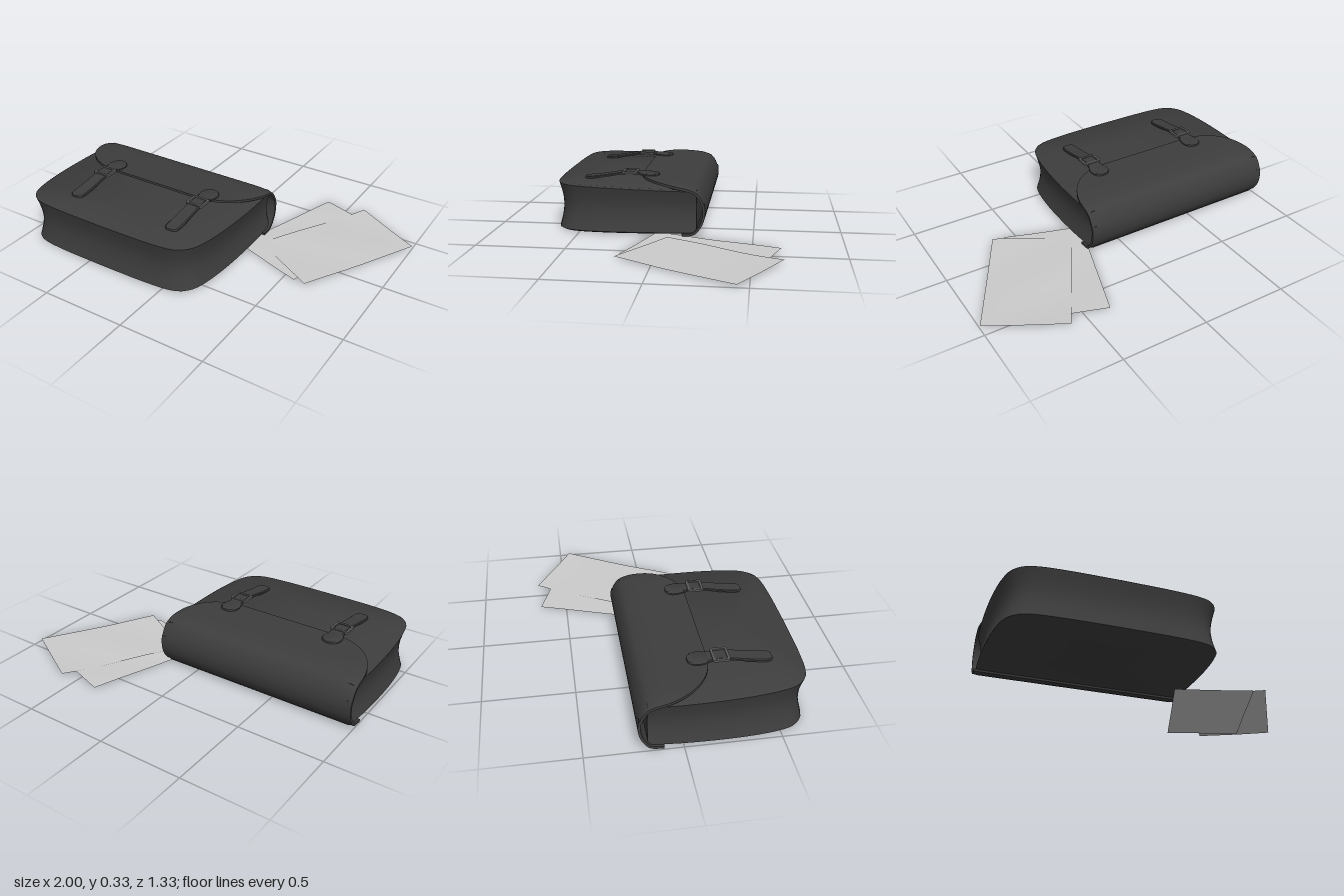
import * as THREE from 'three';
import { toCreasedNormals } from 'three/addons/utils/BufferGeometryUtils.js';

const CX = -0.395; // centre line of the bag
const leather = new THREE.MeshStandardMaterial({ color: 0x3d3d3d });
const metal = new THREE.MeshStandardMaterial({ color: 0x5a5a5a });
const paper = new THREE.MeshStandardMaterial({ color: 0xcccccc, side: THREE.DoubleSide });
const V = (x, y, z) => new THREE.Vector3(x, y, z);

function add(parent, name, geometry, material) {
  const mesh = new THREE.Mesh(geometry, material);
  mesh.name = name;
  parent.add(mesh);
  return mesh;
}

// Closed skin over equal-length rings, capped at both ends and always facing outwards
function loft(rings, crease = 0.7) {
  const n = rings[0].length, m = rings.length;
  const points = rings.flat();
  const tris = [];
  for (let i = 0; i < m - 1; i++) {
    for (let j = 0; j < n; j++) {
      const a = i * n + j, b = i * n + (j + 1) % n;
      tris.push([a, b, a + n], [b, b + n, a + n]);
    }
  }
  [0, m - 1].forEach((r, end) => {
    const mid = rings[r].reduce((s, p) => s.add(p), V(0, 0, 0)).divideScalar(n);
    const c = points.push(mid) - 1;
    for (let j = 0; j < n; j++) {
      const a = r * n + j, b = r * n + (j + 1) % n;
      tris.push(end ? [c, a, b] : [c, b, a]);
    }
  });
  let volume = 0;
  for (const [a, b, c] of tris) volume += points[a].dot(V(0, 0, 0).crossVectors(points[b], points[c]));
  const geometry = new THREE.BufferGeometry().setFromPoints(points);
  geometry.setIndex(tris.flatMap(([a, b, c]) => (volume < 0 ? [a, c, b] : [a, b, c])));
  return toCreasedNormals(geometry, crease);
}

// Bag body: plan outline stacked in levels, walls pinched at mid height
function bodyGeometry() {
  const half = new THREE.CatmullRomCurve3([
    [0.59, -0.18], [0.6, 0], [0.6, 0.2], [0.592, 0.35], [0.575, 0.48],
    [0.55, 0.565], [0.5, 0.62], [0.44, 0.642], [0.3, 0.655], [0, 0.66],
  ].map(([x, z]) => V(x, 0, z))).getSpacedPoints(44);
  const outline = [...half, ...half.slice(0, -1).reverse().map((p) => V(-p.x, 0, p.z))];
  const rings = [];
  const steps = 16;
  for (let i = -1; i <= steps + 1; i++) {
    const rim = i < 0 || i > steps;
    const t = THREE.MathUtils.clamp(i / steps, 0, 1);
    const inset = rim ? 0.012 : 0.022 * Math.sin(Math.PI * t);
    rings.push(outline.map((p) => {
      const back = (0.66 - p.z) / 0.84;
      const bottom = 0.003 + 0.017 * back, top = 0.287 - 0.017 * back;
      const v = rim ? t : 0.03 + 0.94 * t;
      const z = p.z > 0 ? p.z - inset * p.z / 0.66 : p.z;
      return V(CX + p.x * (1 - inset / 0.6), THREE.MathUtils.lerp(bottom, top, v), z);
    }));
  }
  return loft(rings, 0.8);
}

// Flap: one leather sheet from the bottom edge, round the back and over the top
function flapGeometry() {
  const curve = new THREE.CatmullRomCurve3([
    [-0.1, 0.014], [-0.165, 0.024], [-0.195, 0.055], [-0.217, 0.1], [-0.224, 0.16],
    [-0.21, 0.22], [-0.18, 0.265], [-0.13, 0.287], [-0.05, 0.297], [0.06, 0.301], [0.165, 0.305],
  ].map(([z, y]) => V(0, y, z)));
  const across = 32, count = 90, thick = 0.014;
  const rings = [];
  for (let i = 0; i <= count; i++) {
    const k = 1 - (1 - i / count) ** 1.7; // finer rows near the rounded front edge
    const p = curve.getPoint(k), d = curve.getTangent(k);
    const t = p.y > 0.2 ? THREE.MathUtils.clamp((p.z + 0.13) / 0.295, 0, 1) : 0;
    const w = 0.605 - 0.305 * (1 - Math.sqrt(1 - t * t));
    const row = (offset) => Array.from({ length: across + 1 }, (_, j) => {
      const s = Math.sin((j / across - 0.5) * Math.PI);
      const droop = p.y > 0.2 ? 0.016 * Math.abs(s * w / 0.605) ** 16 : 0;
      return V(CX + s * w, p.y + d.z * offset - droop, p.z - d.y * offset);
    });
    rings.push([...row(thick / 2), ...row(-thick / 2).reverse()]);
  }
  return loft(rings);
}

// Strap with a rounded tip, running through the buckle to a round head on the flap
function strapGeometry() {
  const rows = [
    [0.502, 0.288, 0.018], [0.497, 0.288, 0.03], [0.485, 0.289, 0.039], [0.465, 0.29, 0.042],
    [0.42, 0.295, 0.042], [0.35, 0.306, 0.041], [0.29, 0.317, 0.04], [0.23, 0.323, 0.039],
    [0.185, 0.32, 0.039], [0.165, 0.317, 0.042], [0.145, 0.316, 0.05], [0.12, 0.315, 0.055],
    [0.095, 0.314, 0.052], [0.075, 0.313, 0.041], [0.063, 0.312, 0.026], [0.059, 0.312, 0.012],
  ];
  const section = [[-1, -0.6], [1, -0.6], [1, 0.2], [0.88, 0.6], [-0.88, 0.6], [-1, 0.2]];
  return loft(rows.map(([z, y, w]) => section.map(([a, b]) => V(a * w, y + b * 0.011, z))));
}

function roundedRect(path, w, h, r) {
  path.absarc(w - r, h - r, r, 0, Math.PI / 2);
  path.absarc(r - w, h - r, r, Math.PI / 2, Math.PI);
  path.absarc(r - w, r - h, r, Math.PI, Math.PI * 1.5);
  path.absarc(w - r, r - h, r, Math.PI * 1.5, Math.PI * 2);
  path.closePath();
  return path;
}

function buckleGeometry() {
  const shape = roundedRect(new THREE.Shape(), 0.052, 0.043, 0.01);
  shape.holes.push(roundedRect(new THREE.Path(), 0.042, 0.033, 0.006));
  const geometry = new THREE.ExtrudeGeometry(shape, {
    depth: 0.01, bevelEnabled: true, bevelThickness: 0.002, bevelSize: 0.002, bevelSegments: 2, curveSegments: 6,
  });
  return geometry.rotateX(-Math.PI / 2);
}

// Sheet of paper with a gentle ripple and an optional lifted back edge
function sheet(parent, name, x, z, turn, y, phase, lift) {
  const geometry = new THREE.PlaneGeometry(0.459, 0.744, 10, 16).rotateX(-Math.PI / 2);
  const pos = geometry.attributes.position;
  for (let i = 0; i < pos.count; i++) {
    const px = pos.getX(i), pz = pos.getZ(i);
    const curl = lift * Math.max(0, -pz / 0.372) ** 3;
    pos.setY(i, 0.0018 * Math.sin(9 * px + 11 * pz + phase) + curl);
  }
  geometry.computeVertexNormals();
  const mesh = add(parent, name, geometry, paper);
  mesh.position.set(x, y, z);
  mesh.rotation.y = -turn;
}

export function createModel() {
  const model = new THREE.Group();
  model.name = 'satchelWithPapers';

  const bag = new THREE.Group();
  bag.name = 'satchel';
  model.add(bag);
  add(bag, 'body', bodyGeometry(), leather);
  add(bag, 'flap', flapGeometry(), leather);

  for (const side of [-1, 1]) {
    const fastener = new THREE.Group();
    fastener.name = side < 0 ? 'rightFastener' : 'leftFastener';
    fastener.position.x = -0.372 + side * 0.332;
    bag.add(fastener);
    add(fastener, 'strap', strapGeometry(), leather);
    add(fastener, 'buckle', buckleGeometry(), metal).position.set(0, 0.32, 0.23);
    const loop = add(fastener, 'strapKeeper', new THREE.BoxGeometry(0.088, 0.014, 0.014), leather);
    loop.position.set(0, 0.324, 0.268);
  }

  sheet(model, 'lowerPaper', 0.461, -0.23, 0.32, 0.004, 0, 0.002);
  sheet(model, 'upperPaper', 0.615, -0.23, 0.515, 0.01, 2, 0.007);
  return model;
}
